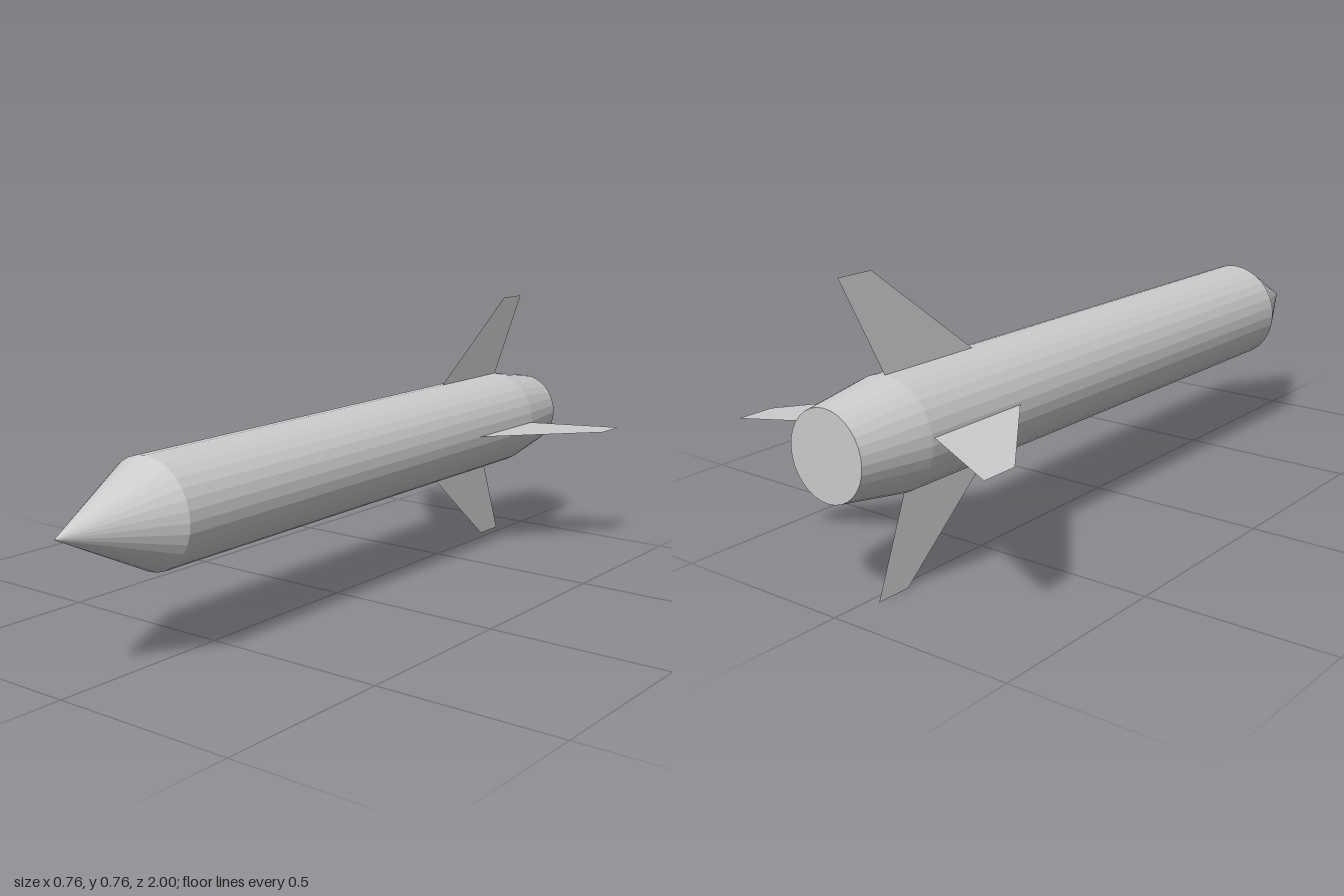
import * as THREE from 'three';

export function createModel() {
  const model = new THREE.Group();
  const material = new THREE.MeshStandardMaterial({ color: 0xcccccc, flatShading: true });
  const finMaterial = new THREE.MeshStandardMaterial({ color: 0xcccccc, flatShading: true, side: THREE.DoubleSide });

  // Hull sections are turned around one axis, drawn along y and then laid towards +z
  const hull = new THREE.Group();
  hull.name = 'hull';
  hull.position.y = 0.376;
  hull.rotation.x = Math.PI / 2 + 0.007; // nose dips slightly
  model.add(hull);

  const addSection = (name, profile) => {
    const points = profile.map(([r, y]) => new THREE.Vector2(r, y));
    const mesh = new THREE.Mesh(new THREE.LatheGeometry(points, 32), material);
    mesh.name = name;
    hull.add(mesh);
  };
  addSection('tailCone', [[0, -1], [0.11, -1], [0.14, -0.81]]);
  addSection('bodyTube', [[0.14, -0.81], [0.14, 0.72]]);
  addSection('noseCone', [[0.14, 0.72], [0, 1]]);

  // Thin swept fins: root and tip as [x, y], then z of the root and tip edges, front to back
  const addFin = (name, root, tip, rootZ, tipZ) => {
    const corners = [
      ...root, rootZ[0], ...root, rootZ[1],
      ...tip, tipZ[1], ...tip, tipZ[0],
    ];
    const geometry = new THREE.BufferGeometry();
    geometry.setAttribute('position', new THREE.Float32BufferAttribute(corners, 3));
    geometry.setIndex([0, 1, 2, 0, 2, 3]);
    geometry.computeVertexNormals();
    const mesh = new THREE.Mesh(geometry, finMaterial);
    mesh.name = name;
    model.add(mesh);
  };
  addFin('topFin', [0, 0.52], [0.025, 0.76], [-0.515, -0.81], [-0.815, -0.915]);
  addFin('bottomFin', [-0.017, 0.241], [-0.025, 0], [-0.49, -0.78], [-0.79, -0.885]);
  addFin('leftFin', [0.14, 0.38], [0.38, 0.375], [-0.51, -0.805], [-0.82, -0.92]);
  addFin('rightFin', [-0.14, 0.4], [-0.382, 0.388], [-0.505, -0.805], [-0.82, -0.92]);

  return model;
}
